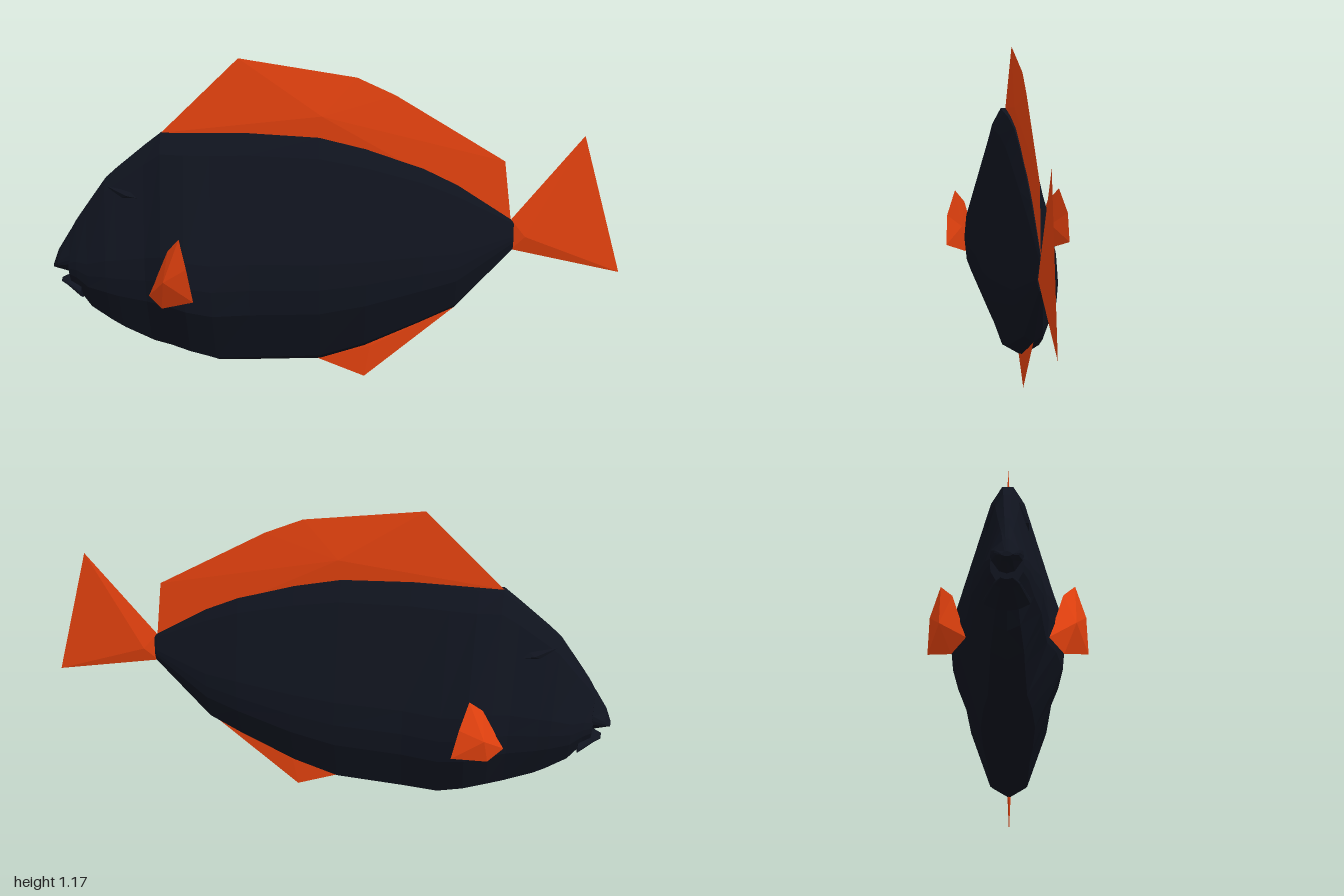
import * as THREE from 'three';

const dark = new THREE.MeshStandardMaterial({ color: 0x10141f, flatShading: true });
const orange = new THREE.MeshStandardMaterial({ color: 0xe8430f, flatShading: true, side: THREE.DoubleSide });
const darkThin = dark.clone();
darkThin.side = THREE.DoubleSide;

// Half cross-section, top to bottom: [share of half width, share of height]
const SECTION = [[0.12, 1], [0.35, 0.92], [0.95, 0.49], [1, 0.38], [0.95, 0.27], [0.46, 0.045], [0, 0]];
const RING = [...SECTION, ...SECTION.slice(0, -1).reverse().map(([w, h]) => [-w, h])];

function meshFrom(name, positions, material) {
  const geometry = new THREE.BufferGeometry();
  geometry.setAttribute('position', new THREE.Float32BufferAttribute(positions.flat(), 3));
  geometry.computeVertexNormals();
  const mesh = new THREE.Mesh(geometry, material);
  mesh.name = name;
  return mesh;
}

// Skin over stations [x, bottom, top, halfWidth] listed from nose to tail
function loft(name, stations, material) {
  const rings = stations.map(([x, bottom, top, half]) =>
    RING.map(([w, h]) => [x, bottom + (top - bottom) * h, half * w]));
  const n = RING.length;
  const tris = [];
  for (let s = 0; s < rings.length - 1; s++) {
    for (let i = 0; i < n; i++) {
      const j = (i + 1) % n;
      const [a, b, c, d] = [rings[s][i], rings[s + 1][i], rings[s][j], rings[s + 1][j]];
      tris.push(a, c, b, b, c, d);
    }
  }
  const first = rings[0], last = rings[rings.length - 1];
  for (let i = 1; i < n - 1; i++) {
    tris.push(first[0], first[i + 1], first[i]);
    tris.push(last[0], last[i], last[i + 1]);
  }
  return meshFrom(name, tris, material);
}

// Thin faceted blade: an outline fanned to a raised point on each side
function blade(name, outline, centre, offset, material) {
  const tris = [];
  for (const side of [1, -1]) {
    const peak = centre.map((v, k) => v + side * offset[k]);
    outline.forEach((p, i) => {
      const q = outline[(i + 1) % outline.length];
      tris.push(...(side > 0 ? [peak, p, q] : [peak, q, p]));
    });
  }
  return meshFrom(name, tris, material);
}

const flat = (points) => points.map(([x, y]) => [x, y, 0]);

export function createModel() {
  const fish = new THREE.Group();
  fish.name = 'fish';

  // Body
  fish.add(loft('body', [
    [-0.94, 0.37, 0.56, 0.046],
    [-0.91, 0.34, 0.61, 0.062],
    [-0.87, 0.28, 0.665, 0.078],
    [-0.8, 0.227, 0.76, 0.1],
    [-0.76, 0.2, 0.795, 0.105],
    [-0.66, 0.15, 0.875, 0.12],
    [-0.6, 0.132, 0.92, 0.15],
    [-0.52, 0.105, 0.92, 0.172],
    [-0.43, 0.075, 0.92, 0.16],
    [-0.3, 0.075, 0.92, 0.142],
    [-0.06, 0.08, 0.905, 0.132],
    [0.1, 0.13, 0.865, 0.119],
    [0.3, 0.222, 0.795, 0.094],
    [0.42, 0.28, 0.735, 0.066],
    [0.61, 0.49, 0.61, 0.016],
    [0.62, 0.5, 0.6, 0.012],
  ], dark));

  // Parted lips
  fish.add(loft('upperLip', [
    [-1.0, 0.435, 0.45, 0.016],
    [-0.98, 0.43, 0.5, 0.034],
    [-0.935, 0.415, 0.57, 0.046],
  ], dark));
  fish.add(loft('lowerLip', [
    [-0.975, 0.38, 0.394, 0.016],
    [-0.95, 0.366, 0.405, 0.036],
    [-0.9, 0.325, 0.4, 0.066],
  ], dark));

  // Fins on the centre line
  fish.add(blade('dorsalFin', flat([
    [-0.6, 0.92], [-0.33, 1.175], [0.07, 1.11], [0.2, 1.05], [0.58, 0.82], [0.61, 0.6],
  ]), [-0.05, 0.98, 0], [0, 0, 0.016], orange));
  fish.add(blade('tailFin', flat([
    [0.61, 0.61], [0.85, 0.91], [1.0, 0.415], [0.615, 0.5],
  ]), [0.66, 0.55, 0], [0, 0, 0.014], orange));
  fish.add(blade('analFin', flat([
    [-0.07, 0.08], [0.1, 0.008], [0.42, 0.28], [0.1, 0.2],
  ]), [0.12, 0.13, 0], [0, 0, 0.005], orange));

  // Paired side fins and brow ridges
  for (const [label, s] of [['left', 1], ['right', -1]]) {
    const mirror = (points) => points.map(([x, y, z]) => [x, y, z * s]);
    fish.add(blade(label + 'SideFin', mirror([
      [-0.65, 0.37, 0.12], [-0.6, 0.34, 0.165], [-0.48, 0.395, 0.245],
      [-0.5, 0.51, 0.24], [-0.525, 0.605, 0.207], [-0.57, 0.55, 0.168],
    ]), [-0.575, 0.45, 0.192 * s], [-0.01, 0, 0.013 * s], orange));
    fish.add(blade(label + 'Brow', mirror([
      [-0.79, 0.74, 0.034], [-0.74, 0.7, 0.05], [-0.66, 0.7, 0.064], [-0.7, 0.725, 0.054],
    ]), [-0.72, 0.713, 0.055 * s], [0, 0, 0.008], darkThin));
  }
  return fish;
}
